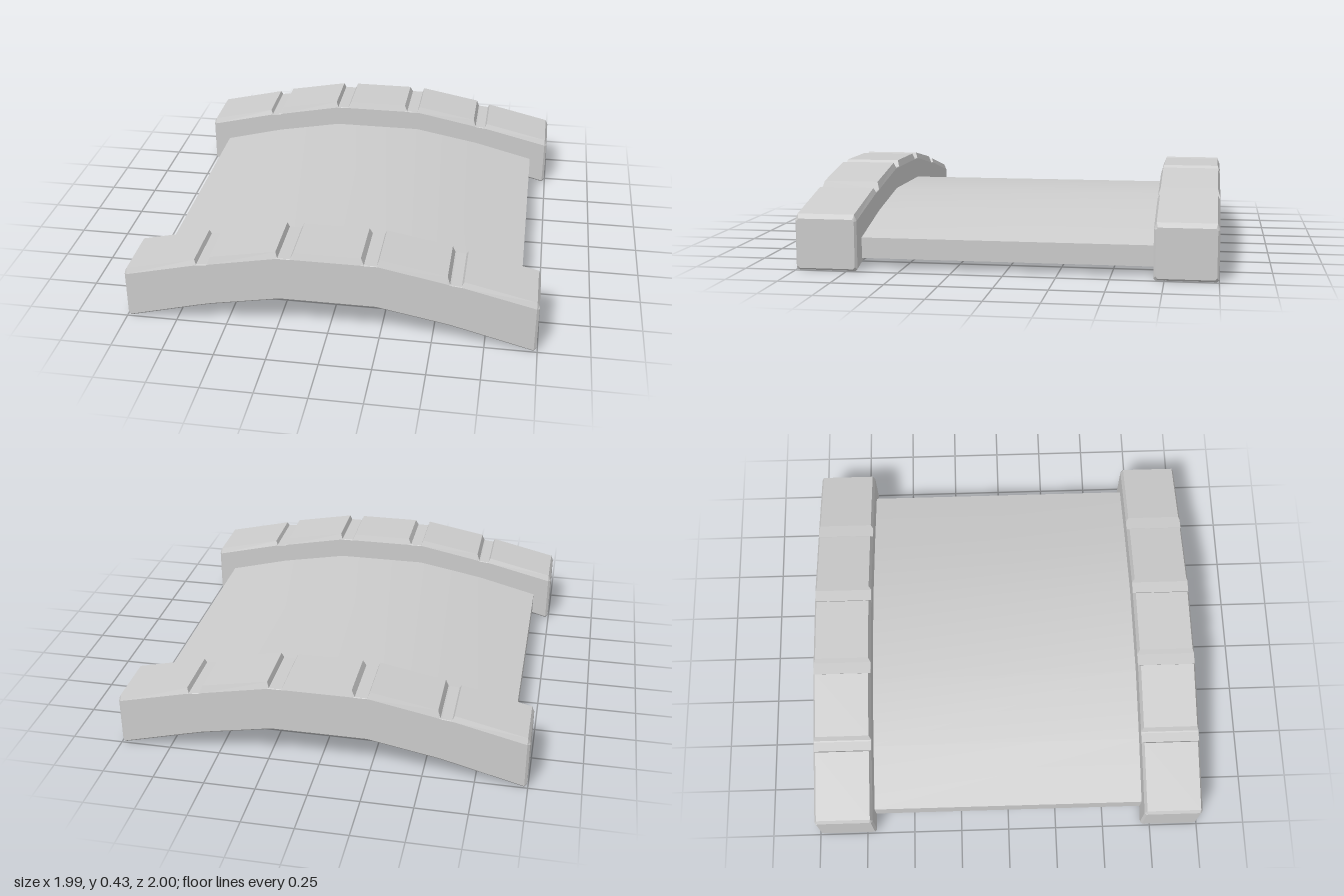
import * as THREE from 'three';
import { toCreasedNormals } from 'three/addons/utils/BufferGeometryUtils.js';

const grey = { color: 0xcccccc };

// Half of the parapet, end to middle: x, bottom, shoulder, top, side inset, top chamfer
const HALF = [
  [-0.995, 0.012, 0.240, 0.250, 0.01, 0.008],
  [-0.983, 0.002, 0.243, 0.273, 0, 0.012],
  [-0.642, 0.091, 0.325, 0.352, 0, 0.012],
  [-0.632, 0.093, 0.327, 0.330, 0, 0.002],
  [-0.585, 0.105, 0.332, 0.335, 0, 0.002],
  [-0.578, 0.106, 0.334, 0.337, 0, 0.002],
  [-0.565, 0.109, 0.338, 0.373, 0, 0.012],
  [-0.245, 0.168, 0.400, 0.432, 0, 0.012],
  [-0.235, 0.170, 0.401, 0.404, 0, 0.002],
  [-0.175, 0.170, 0.401, 0.404, 0, 0.002],
  [-0.160, 0.170, 0.402, 0.435, 0, 0.012],
];

// Eight-sided cross-sections joined along x, with capped ends
function parapetGeometry(halfWidth) {
  const stations = [...HALF, ...[...HALF].reverse().map(([x, ...rest]) => [-x, ...rest])];
  const positions = [], index = [], n = 8;
  for (const [x, bottom, shoulder, top, inset, chamfer] of stations) {
    const w = halfWidth - inset;
    const side = [[w - 0.01, bottom], [w, bottom + 0.01], [w, shoulder], [w - chamfer, top]];
    const ring = [...side, ...[...side].reverse().map(([z, y]) => [-z, y])];
    for (const [z, y] of ring) positions.push(x, y, z);
  }
  for (let s = 0; s < stations.length - 1; s++) {
    for (let i = 0; i < n; i++) {
      const a = s * n + i, b = s * n + (i + 1) % n;
      index.push(a, a + n, b + n, a, b + n, b);
    }
  }
  const last = (stations.length - 1) * n;
  for (let i = 1; i < n - 1; i++) {
    index.push(0, i, i + 1);
    index.push(last, last + i + 1, last + i);
  }
  const g = new THREE.BufferGeometry();
  g.setAttribute('position', new THREE.Float32BufferAttribute(positions, 3));
  g.setIndex(index);
  const flat = g.toNonIndexed();
  flat.computeVertexNormals();
  return flat;
}

// Thin arched slab running between the parapets
function deckGeometry() {
  const top = [[-0.905, 0.15], [-0.585, 0.231], [-0.235, 0.295]];
  const full = [...top, ...[...top].reverse().map(([x, y]) => [-x, y])];
  const under = [...full].reverse().map(([x, y]) => [x, y - 0.1]);
  const shape = new THREE.Shape([...full, ...under].map(([x, y]) => new THREE.Vector2(x, y)));
  const g = new THREE.ExtrudeGeometry(shape, { depth: 1.42, bevelEnabled: false });
  g.translate(0, 0, -0.71);
  return toCreasedNormals(g, Math.PI / 6);
}

export function createModel() {
  const bridge = new THREE.Group();
  bridge.name = 'archedBridge';

  const deck = new THREE.Mesh(deckGeometry(), new THREE.MeshStandardMaterial(grey));
  deck.name = 'deck';
  bridge.add(deck);

  // Matching parapets along the front and back edges
  const stone = new THREE.MeshStandardMaterial({ ...grey, flatShading: true });
  const geometry = parapetGeometry(0.15);
  for (const [name, z] of [['frontParapet', 0.85], ['backParapet', -0.85]]) {
    const parapet = new THREE.Mesh(geometry, stone);
    parapet.name = name;
    parapet.position.z = z;
    bridge.add(parapet);
  }
  return bridge;
}
